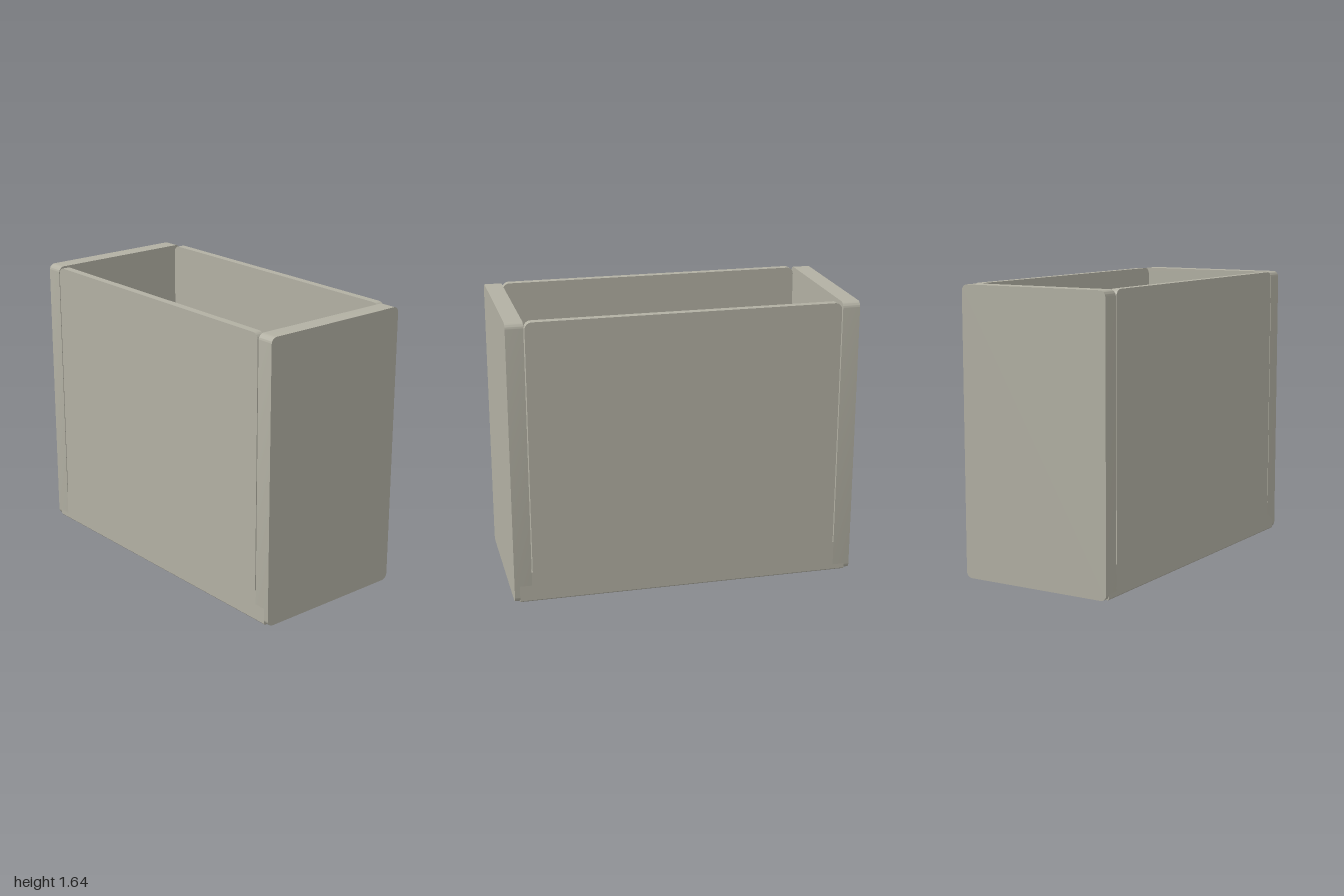
import * as THREE from 'three';
import { toCreasedNormals } from 'three/addons/utils/BufferGeometryUtils.js';

const H = 1.64, HALF_Z = 0.463, WALL = 0.045, END = 0.1, R = 0.035;

// Rounded rectangle with separate bottom and top corner radii
function roundedRect(halfW, y0, y1, rBottom, rTop) {
  const s = new THREE.Shape();
  if (rBottom > 0) {
    s.absarc(-halfW + rBottom, y0 + rBottom, rBottom, Math.PI, 1.5 * Math.PI, false);
    s.absarc(halfW - rBottom, y0 + rBottom, rBottom, 1.5 * Math.PI, 2 * Math.PI, false);
  } else {
    s.moveTo(-halfW, y0);
    s.lineTo(halfW, y0);
  }
  s.absarc(halfW - rTop, y1 - rTop, rTop, 0, Math.PI / 2, false);
  s.absarc(-halfW + rTop, y1 - rTop, rTop, Math.PI / 2, Math.PI, false);
  s.closePath();
  return s;
}

// Extrudes a shape centred on its thickness
function slab(shape, depth) {
  const g = new THREE.ExtrudeGeometry(shape, { depth, bevelEnabled: false, curveSegments: 8 });
  g.translate(0, 0, -depth / 2);
  return toCreasedNormals(g, 0.6);
}

export function createModel() {
  const group = new THREE.Group();
  const stone = new THREE.MeshStandardMaterial({ color: 0xb2b0a3 });
  stone.name = 'warm grey';

  const add = (name, geometry, x, y, z) => {
    const mesh = new THREE.Mesh(geometry, stone);
    mesh.name = name;
    mesh.position.set(x, y, z);
    group.add(mesh);
    return mesh;
  };

  // Thick end walls with rounded corners
  const endGeo = slab(roundedRect(HALF_Z, 0, H, R, R), END).rotateY(Math.PI / 2);
  add('leftEndWall', endGeo, 1 - END / 2, 0, 0);
  add('rightEndWall', endGeo, -1 + END / 2, 0, 0);

  // Floor, with a slightly eased lower edge
  const eased = new THREE.Shape();
  eased.moveTo(-HALF_Z + 0.008, 0);
  eased.lineTo(HALF_Z - 0.008, 0);
  eased.lineTo(HALF_Z, 0.008);
  eased.lineTo(HALF_Z, 0.1);
  eased.lineTo(-HALF_Z, 0.1);
  eased.lineTo(-HALF_Z, 0.008);
  eased.closePath();
  add('floor', slab(eased, 1.94).rotateY(Math.PI / 2), 0, 0, 0);

  // Thin front and back walls, parted from the end walls by narrow slits
  const panelGeo = slab(roundedRect(0.894, 0.18, H, 0, 0.04), WALL);
  const footGeo = new THREE.BoxGeometry(1.8, 0.08, WALL);
  for (const [side, sign] of [['front', 1], ['back', -1]]) {
    const z = sign * (HALF_Z - WALL / 2);
    add(side + 'Wall', panelGeo, 0, 0, z);
    add(side + 'WallFoot', footGeo, 0, 0.14, z);
  }
  return group;
}
